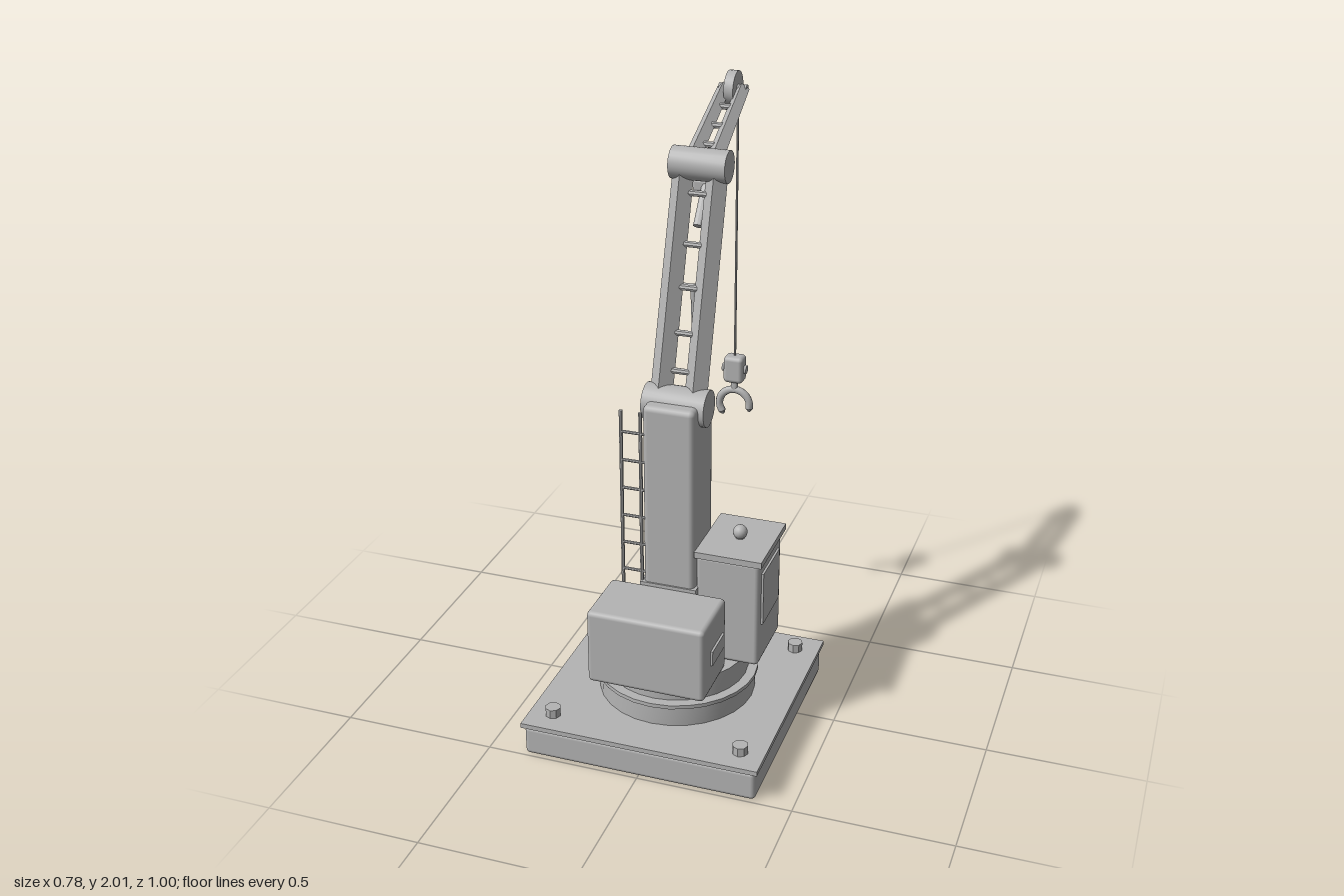
import * as THREE from 'three';
import { toCreasedNormals } from 'three/addons/utils/BufferGeometryUtils.js';
import { RoundedBoxGeometry } from 'three/addons/geometries/RoundedBoxGeometry.js';

export function createModel() {
  const crane = new THREE.Group();
  crane.name = 'crane';
  const grey = new THREE.MeshStandardMaterial({ color: 0xb4b4b4 });
  grey.name = 'plain grey';

  const add = (name, geometry, x = 0, y = 0, z = 0) => {
    const mesh = new THREE.Mesh(geometry, grey);
    mesh.name = name;
    mesh.position.set(x, y, z);
    crane.add(mesh);
    return mesh;
  };
  // Box given by its limits, with optional rounded edges
  const box = (name, [x0, x1], [y0, y1], [z0, z1], r = 0) => {
    const size = [x1 - x0, y1 - y0, z1 - z0];
    const g = r ? new RoundedBoxGeometry(...size, 2, r) : new THREE.BoxGeometry(...size);
    return add(name, g, (x0 + x1) / 2, (y0 + y1) / 2, (z0 + z1) / 2);
  };
  // Round or faceted bar between two points
  const bar = (name, a, b, r0, r1 = r0, sides = 12) => {
    const p = new THREE.Vector3(...a), q = new THREE.Vector3(...b);
    const g = toCreasedNormals(new THREE.CylinderGeometry(r1, r0, p.distanceTo(q), sides), 0.7);
    const mesh = add(name, g);
    mesh.position.copy(p).add(q).multiplyScalar(0.5);
    mesh.quaternion.setFromUnitVectors(new THREE.Vector3(0, 1, 0), q.sub(p).normalize());
    return mesh;
  };
  const axle = (name, half, y, z, r) => bar(name, [-half, y, z], [half, y, z], r, r, 28);

  // Base slab, deck and anchor bolts
  box('baseSlab', [-0.38, 0.38], [0, 0.1], [-0.268, 0.492], 0.015);
  box('baseDeck', [-0.388, 0.388], [0.1, 0.116], [-0.276, 0.5]);
  for (const x of [-0.31, 0.31]) for (const z of [-0.195, 0.42])
    bar('anchorBolt', [x, 0.11, z], [x, 0.145, z], 0.025, 0.025, 8);

  // Turntable
  const ring = (name, y0, y1, r) => bar(name, [0, y0, 0.113], [0, y1, 0.113], r, r, 28);
  ring('turntableDrum', 0.11, 0.185, 0.252);
  ring('turntableFlange', 0.183, 0.196, 0.261);
  ring('turntableTop', 0.19, 0.27, 0.23);

  // Engine housing with a vent on each side
  box('engineHousing', [-0.19, 0.19], [0.265, 0.515], [0.197, 0.418], 0.015);
  for (const s of [-1, 1])
    box('engineVent', [s * 0.193 - 0.004, s * 0.193 + 0.004], [0.36, 0.41], [0.235, 0.35]);

  // Operator cab, window plates, roof and beacon
  box('cab', [0.085, 0.29], [0.275, 0.637], [-0.06, 0.183], 0.014);
  box('sideWindow', [0.288, 0.297], [0.415, 0.595], [-0.02, 0.155]);
  box('rearWindow', [0.112, 0.262], [0.415, 0.595], [-0.069, -0.059]);
  box('cabRoof', [0.083, 0.3], [0.635, 0.656], [-0.075, 0.195]);
  bar('beaconBase', [0.19, 0.65, 0.06], [0.19, 0.668, 0.06], 0.014);
  add('beacon', new THREE.SphereGeometry(0.023, 16, 12), 0.19, 0.677, 0.06);

  // Tower with collar
  box('towerFoot', [-0.086, 0.086], [0.26, 0.5], [0.008, 0.203], 0.008);
  box('towerCollar', [-0.092, 0.092], [0.49, 0.525], [0, 0.205]);
  box('tower', [-0.082, 0.084], [0.5, 1.128], [0.015, 0.2], 0.018);

  // Ladder beside the tower
  for (const x of [-0.153, -0.09]) bar('ladderRail', [x, 0.48, 0.19], [x, 1.1, 0.19], 0.006, 0.006, 8);
  for (let i = 0; i < 6; i++) {
    const y = 0.555 + i * 0.095;
    bar('ladderRung', [-0.153, y, 0.19], [-0.075, y, 0.19], 0.005, 0.005, 8);
  }

  // Two-section boom made of paired diamond beams with cross rungs
  const foot = [1.105, 0.105], elbow = [1.795, -0.11], tip = [1.95, -0.42];
  const boom = (name, a, b, x0, x1, r0, r1, rungs) => {
    for (const s of [-1, 1])
      bar(name + 'Beam', [s * x0, ...a], [s * x1, ...b], r0, r1, 4);
    for (const t of rungs) {
      const y = a[0] + (b[0] - a[0]) * t, z = a[1] + (b[1] - a[1]) * t;
      const half = x0 + (x1 - x0) * t;
      bar(name + 'Rung', [-half, y, z], [half, y, z], 0.01, 0.01, 8);
    }
  };
  boom('lowerBoom', foot, elbow, 0.055, 0.053, 0.036, 0.034, [0.14, 0.3, 0.49, 0.67, 0.88]);
  boom('upperBoom', elbow, tip, 0.035, 0.03, 0.027, 0.022, [0.25, 0.5, 0.75]);
  axle('footPivot', 0.1, ...foot, 0.058);
  axle('elbowPivot', 0.089, ...elbow, 0.05);
  axle('tipPulley', 0.015, ...tip, 0.055);
  axle('tipAxle', 0.045, ...tip, 0.014);

  // Main lifting ram
  bar('ramBarrel', [0, 0.665, -0.002], [0, 1.1, -0.083], 0.022);
  bar('ramRod', [0, 1.09, -0.081], [0, 1.435, -0.048], 0.012);
  axle('ramPin', 0.055, 1.43, -0.045, 0.01);

  // Upper boom ram and lamp
  bar('upperRamBarrel', [0, 1.61, -0.085], [0, 1.76, -0.2], 0.016);
  bar('upperRamRod', [0, 1.755, -0.195], [0, 1.842, -0.32], 0.01);
  box('lampHousing', [-0.042, 0.042], [1.695, 1.732], [-0.208, -0.152], 0.008);
  bar('lampLens', [0, 1.682, -0.18], [0, 1.7, -0.18], 0.018, 0.022);

  // Cable, hook block and hook
  const hz = -0.471;
  bar('cable', [0, 1.02, hz], [0, 1.95, hz], 0.004, 0.004, 8);
  box('hookBlock', [-0.034, 0.034], [0.943, 1.036], [hz - 0.028, hz + 0.028], 0.014);
  axle('blockPin', 0.042, 0.99, hz, 0.014);
  bar('hookShank', [0, 0.905, hz], [0, 0.95, hz], 0.012);
  const arc = [];
  for (let i = 0; i <= 10; i++) {
    const a = THREE.MathUtils.degToRad(-10 + i * 22.5);
    arc.push(new THREE.Vector3(0.053 * Math.cos(a), 0.859 + 0.053 * Math.sin(a), hz));
  }
  add('hook', new THREE.TubeGeometry(new THREE.CatmullRomCurve3(arc), 24, 0.013, 8));
  for (const [p, q] of [[arc[0], arc[1]], [arc[10], arc[9]]]) {
    const end = p.clone().addScaledVector(p.clone().sub(q).normalize(), 0.012);
    bar('hookPoint', p.toArray(), end.toArray(), 0.013, 0.004, 8);
  }
  return crane;
}
